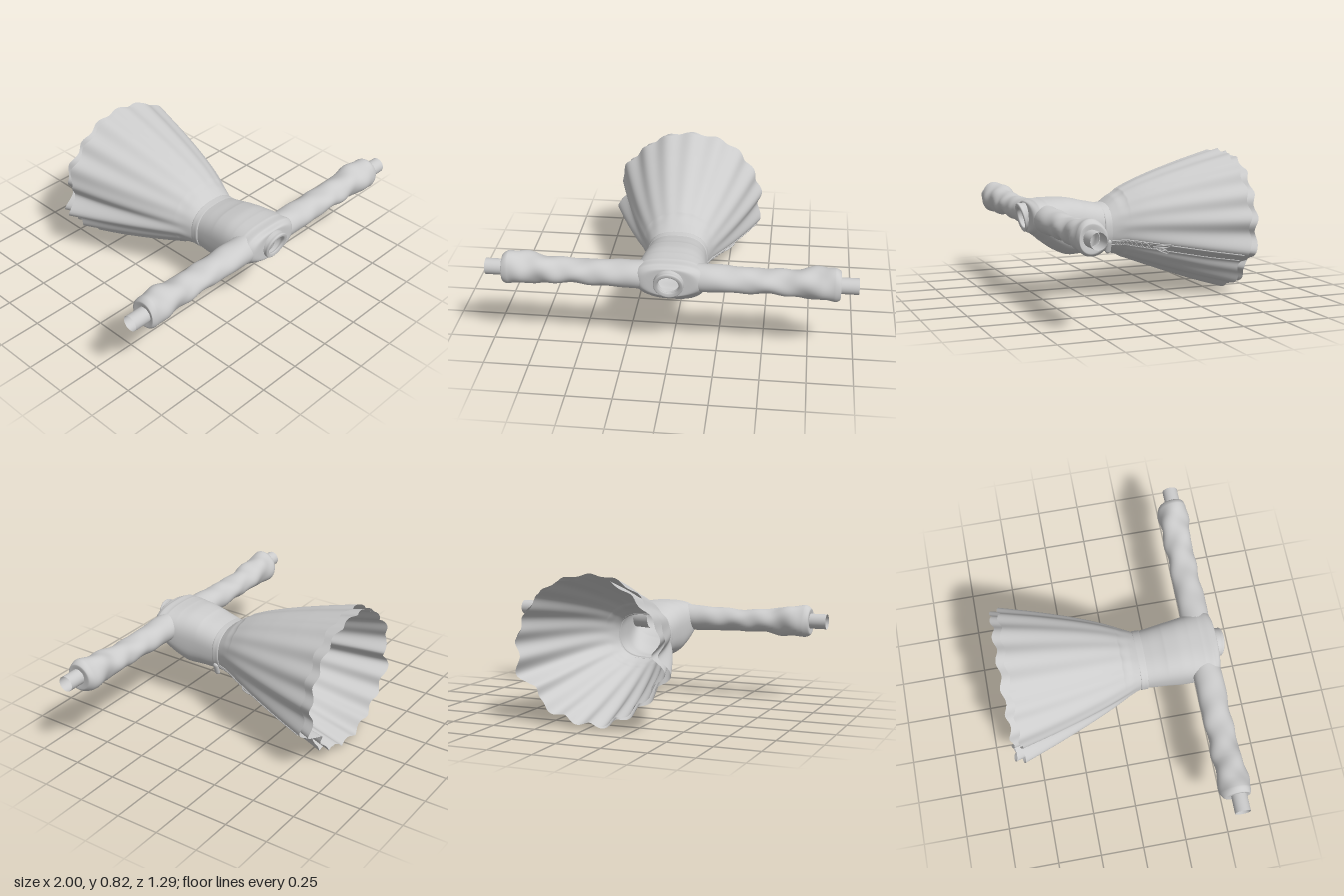
import * as THREE from 'three';
import { ParametricGeometry } from 'three/addons/geometries/ParametricGeometry.js';

const mat = new THREE.MeshStandardMaterial({ color: 0xcccccc, side: THREE.DoubleSide });
const TAU = Math.PI * 2;

// Smooth reading of a list of stations [a, b, c, d, e] at v = 0..1
function stationReader(rows) {
  const A = new THREE.CatmullRomCurve3(rows.map(r => new THREE.Vector3(r[0], r[1], r[2])));
  const B = new THREE.CatmullRomCurve3(rows.map(r => new THREE.Vector3(r[3], r[4], 0)));
  const a = new THREE.Vector3(), b = new THREE.Vector3();
  return v => {
    A.getPoint(v, a);
    B.getPoint(v, b);
    return [a.x, a.y, a.z, b.x, b.y];
  };
}

function surface(name, fn, nu, nv) {
  const mesh = new THREE.Mesh(new ParametricGeometry(fn, nu, nv), mat);
  mesh.name = name;
  return mesh;
}

const power = (x, n) => Math.sign(x) * Math.abs(x) ** (2 / n);
const bump = (a, centre, width) => {
  const d = Math.atan2(Math.sin(a - centre), Math.cos(a - centre));
  return Math.exp(-((d / width) ** 2));
};

// Tube running along z; stations are [z, centreY, halfWidth, halfHeight, squareness]
function bodyLoft(name, rows, nu = 64, nv = 50) {
  const read = stationReader(rows);
  return surface(name, (u, v, p) => {
    const [z, cy, w, h, n] = read(v), a = u * TAU;
    p.set(w * power(Math.cos(a), n), cy + h * power(Math.sin(a), n), z);
  }, nu, nv);
}

// Skirt stations run from the waist to the hem
const skirtRead = stationReader([
  [0.15, 0.397, 0.163, 0.133, 2.4], [0.10, 0.408, 0.183, 0.162, 2.2],
  [0.04, 0.416, 0.212, 0.196, 2], [-0.05, 0.42, 0.252, 0.232, 2],
  [-0.2, 0.42, 0.308, 0.286, 2], [-0.4, 0.417, 0.372, 0.35, 2],
  [-0.59, 0.415, 0.425, 0.403, 2],
]);
const SLIT = -0.5;
function skirtPoint(a, v, p, scale = 1, extra = 0, phase = 0) {
  const [z, cy, w, h, n] = skirtRead(v);
  const low = 0.5 - 0.5 * Math.sin(a);
  const t = v ** 1.5;
  const fold = Math.sin(a * 17 + phase) + 0.35 * Math.sin(a * 7 + 1);
  // Pleats, side flares and the tucked panel under the lacing
  const k = scale * (1 + t * (fold * (0.016 + 0.02 * low)
    + 0.10 * bump(a, -0.40, 0.13) - 0.13 * bump(a, SLIT - 0.16, 0.11)
    - 0.08 * bump(a, Math.PI, 0.14) + 0.10 * bump(a, Math.PI + 0.23, 0.16)
    + 0.04 * bump(a, Math.PI - 0.32, 0.2)));
  const wave = t * 0.010 * Math.cos(a * 17 + phase);
  return p.set(k * w * power(Math.cos(a), n), cy + k * h * power(Math.sin(a), n),
    z + wave - extra * t);
}

// Sleeve stations are [x, centreY, centreZ, halfHeight, halfDepth]
const sleeveRead = stationReader([
  [0.10, 0.475, 0.515, 0.080, 0.075], [0.22, 0.475, 0.517, 0.074, 0.083],
  [0.38, 0.473, 0.515, 0.068, 0.080], [0.54, 0.474, 0.516, 0.064, 0.079],
  [0.68, 0.477, 0.518, 0.074, 0.080], [0.80, 0.482, 0.522, 0.089, 0.086],
  [0.87, 0.482, 0.525, 0.091, 0.088], [0.905, 0.483, 0.532, 0.072, 0.072],
  [0.902, 0.485, 0.537, 0.042, 0.040],
]);
function makeSleeve(side) {
  const group = new THREE.Group();
  group.name = side > 0 ? 'leftSleeve' : 'rightSleeve';
  group.add(surface('sleeve', (u, v, p) => {
    const [x, cy, cz, h, d] = sleeveRead(v), a = -side * u * TAU;
    // Twisting wrinkles that deepen towards the wrist
    const g = Math.sin(Math.PI * Math.min(1, v * 1.02)) * (0.03 + 0.06 * v);
    const k = 1 + g * (Math.sin(3 * a + x * 26) * 0.8 + Math.sin(2 * a - x * 38 + 1) * 0.8);
    p.set(side * x, cy + h * k * Math.sin(a), cz + d * k * Math.cos(a));
  }, 40, 80));
  const cuff = new THREE.Mesh(new THREE.CylinderGeometry(0.044, 0.044, 0.12, 32, 1, true), mat);
  cuff.name = 'cuff';
  cuff.rotation.z = Math.PI / 2;
  cuff.position.set(side * 0.94, 0.485, 0.537);
  group.add(cuff);
  return group;
}

function tube(name, points, r) {
  const curve = new THREE.CatmullRomCurve3(points);
  const mesh = new THREE.Mesh(new THREE.TubeGeometry(curve, points.length * 6, r, 6), mat);
  mesh.name = name;
  return mesh;
}

export function createModel() {
  const model = new THREE.Group();

  // Bodice, from the waist up over the shoulders to the neck hole
  model.add(bodyLoft('bodice', [
    [0.15, 0.397, 0.162, 0.132, 2.5], [0.22, 0.402, 0.167, 0.142, 2.6],
    [0.30, 0.411, 0.174, 0.152, 2.7], [0.37, 0.416, 0.182, 0.159, 2.7],
    [0.44, 0.431, 0.190, 0.147, 2.7], [0.51, 0.455, 0.196, 0.122, 2.7],
    [0.565, 0.475, 0.190, 0.098, 2.6], [0.594, 0.478, 0.160, 0.086, 2.3],
    [0.602, 0.475, 0.075, 0.075, 2],
  ]));

  // Sloping collar with a rolled rim and an inner wall
  const collarRead = stationReader([
    [0, 0.084, 0, 0, 0], [0.6, 0.080, 0, 0, 0], [1, 0.074, 0, 0, 0],
    [0.98, 0.064, 0, 0, 0], [0.3, 0.060, 0, 0, 0], [-0.5, 0.060, 0, 0, 0],
  ]);
  model.add(surface('collar', (u, v, p) => {
    const [t, r] = collarRead(v), a = u * TAU;
    const rim = 0.626 + 0.018 * Math.sin(a);
    p.set(r * Math.cos(a), 0.474 + r * Math.sin(a), THREE.MathUtils.lerp(0.585, rim, t));
  }, 40, 24));

  // Belt around the waist, with a small buckle over the lacing
  model.add(bodyLoft('belt', [
    [0.140, 0.398, 0.162, 0.132, 2.4], [0.140, 0.398, 0.170, 0.140, 2.4],
    [0.160, 0.398, 0.171, 0.139, 2.4], [0.180, 0.398, 0.170, 0.138, 2.4],
    [0.184, 0.398, 0.162, 0.130, 2.4],
  ], 64, 20));
  const loop = new THREE.Mesh(new THREE.CapsuleGeometry(0.017, 0.05, 6, 14), mat);
  loop.name = 'beltLoop';
  loop.position.set(0.153, 0.305, 0.161);
  loop.rotation.z = -0.3;
  loop.scale.set(0.7, 1, 1);
  model.add(loop);

  // Pleated skirt over a slightly longer lining
  model.add(surface('skirt', (u, v, p) => skirtPoint(u * TAU, v, p), 240, 50));
  model.add(surface('skirtLining',
    (u, v, p) => skirtPoint(u * TAU, v, p, 0.965, 0.045, 0.8), 240, 40));

  // Criss-cross lacing and bow on the left side
  const lacing = new THREE.Group();
  lacing.name = 'lacing';
  const on = (a, v, s = 1.015) => skirtPoint(a, v, new THREE.Vector3(), s);
  for (const s of [-1, 1]) {
    const lace = [], edge = [];
    for (let i = 0; i <= 8; i++) {
      const v = 0.1 + 0.053 * i;
      lace.push(on(SLIT + 0.09 * (i % 2 ? s : -s), v, 1.02));
    }
    for (let i = 0; i <= 20; i++) edge.push(on(SLIT + 0.10 * s, 0.04 + 0.047 * i, 1.004));
    lacing.add(tube('lace', lace, 0.0035), tube('slitEdge', edge, 0.004));
    lacing.add(tube('bowLoop', [
      on(SLIT, 0.53, 1.02), on(SLIT + 0.08 * s, 0.57, 1.05), on(SLIT + 0.14 * s, 0.63, 1.04),
      on(SLIT + 0.05 * s, 0.61, 1.03), on(SLIT, 0.53, 1.02),
    ], 0.004));
  }
  model.add(lacing);

  for (const side of [1, -1]) model.add(makeSleeve(side));
  return model;
}
